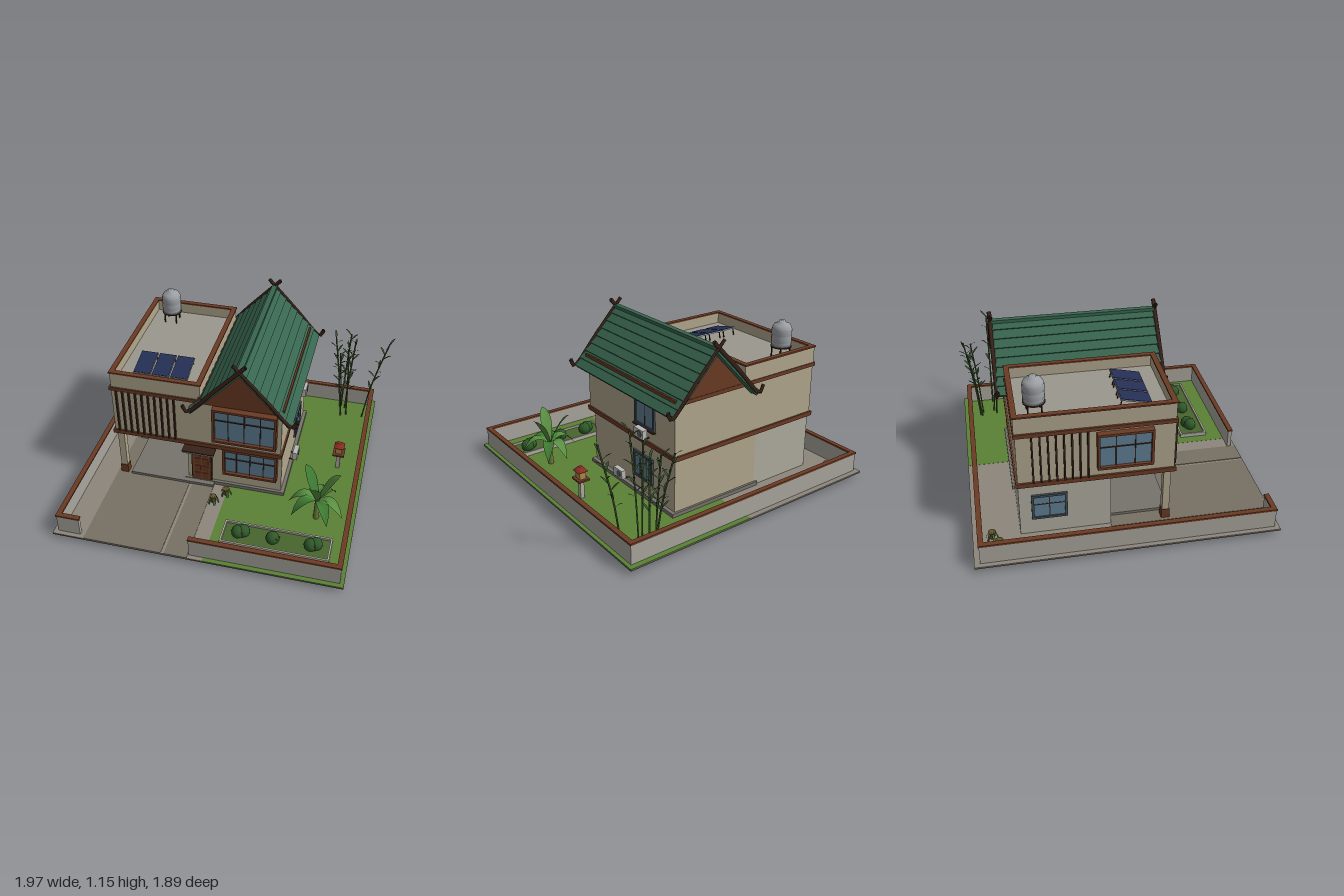
import * as THREE from 'three';

const C = { wall: 0xb2a78e, pale: 0xb0aca0, brown: 0x6b3a24, dark: 0x38231a, roof: 0x38654f, glass: 0x5f7f94,
  stone: 0x8d867b, drive: 0x787064, grass: 0x5b8136, fence: 0xa9a69d, metal: 0x9a9ea2, leaf: 0x3f7030, bamboo: 0x34502a };
const mats = new Map();
function mat(color, thin = false) {
  const key = color + (thin ? 't' : '');
  if (!mats.has(key)) mats.set(key, new THREE.MeshStandardMaterial({ color, side: thin ? THREE.DoubleSide : THREE.FrontSide }));
  return mats.get(key);
}
function add(parent, name, geo, color, thin) {
  const m = new THREE.Mesh(geo, mat(color, thin));
  m.name = name;
  parent.add(m);
  return m;
}
function group(parent, name, x = 0, y = 0, z = 0, ry = 0) {
  const g = new THREE.Group();
  g.name = name;
  g.position.set(x, y, z);
  g.rotation.y = ry;
  parent.add(g);
  return g;
}
// Box given by its limits on each axis
function box(p, name, color, x0, x1, y0, y1, z0, z1) {
  const m = add(p, name, new THREE.BoxGeometry(x1 - x0, y1 - y0, z1 - z0), color);
  m.position.set((x0 + x1) / 2, (y0 + y1) / 2, (z0 + z1) / 2);
  return m;
}
// Rectangular frame in the xy plane, extruded towards +z
function frameGeo(x0, x1, y0, y1, t, depth) {
  const rect = (C2, a, b, c, d) => { C2.moveTo(a, c); C2.lineTo(b, c); C2.lineTo(b, d); C2.lineTo(a, d); C2.closePath(); return C2; };
  const s = rect(new THREE.Shape(), x0, x1, y0, y1);
  s.holes.push(rect(new THREE.Path(), x0 + t, x1 - t, y0 + t, y1 - t));
  return new THREE.ExtrudeGeometry(s, { depth, bevelEnabled: false });
}
function ring(p, name, color, x0, x1, z0, z1, t, y0, y1) {
  const m = add(p, name, frameGeo(x0, x1, -z1, -z0, t, y1 - y0).rotateX(-Math.PI / 2), color);
  m.position.y = y0;
}
// Window facing +z: deep frame, recessed glass, thin bars
function windowUnit(p, name, x, y, z, ry, w, h, d, color, cols, rows) {
  const g = group(p, name, x, y, z, ry), t = 0.016;
  add(g, 'windowFrame', frameGeo(-w / 2, w / 2, -h / 2, h / 2, t, d), color);
  box(g, 'glass', C.glass, -w / 2 + t, w / 2 - t, -h / 2 + t, h / 2 - t, 0, d * 0.5);
  for (const c of cols) box(g, 'bar', C.dark, (c - 0.5) * w - 0.003, (c - 0.5) * w + 0.003, -h / 2 + t, h / 2 - t, 0, d * 0.65);
  for (const r of rows) box(g, 'bar', C.dark, -w / 2 + t, w / 2 - t, (r - 0.5) * h - 0.003, (r - 0.5) * h + 0.003, 0, d * 0.65);
}
// Arched leaf growing along +x, folded a little along its midrib
function leaf(p, x, y, z, yaw, len, width, rise, droop, color) {
  const geo = new THREE.PlaneGeometry(1, 1, 6, 2), a = geo.attributes.position;
  for (let i = 0; i < a.count; i++) {
    const t = a.getX(i) + 0.5, s = a.getY(i) * 2;
    const w = width / 2 * Math.pow(Math.sin(Math.PI * Math.min(1, 0.04 + t * 0.96)), 0.8);
    a.setXYZ(i, len * t, rise * t - droop * t * t + Math.abs(s) * w * 0.3, s * w || 0);
  }
  geo.computeVertexNormals();
  const m = add(p, 'leaf', geo, color, true);
  m.position.set(x, y, z);
  m.rotation.y = yaw;
}
function tube(p, name, color, pts, r, sides = 6) {
  const curve = new THREE.CatmullRomCurve3(pts.map(q => new THREE.Vector3(...q)));
  add(p, name, new THREE.TubeGeometry(curve, 24, r, sides), color, true);
  return curve;
}

function buildGrounds(root) {
  const g = group(root, 'grounds');
  box(g, 'baseSlab', 0x5c5650, -1, 0.885, 0.034, 0.042, -0.94, 0.95);
  box(g, 'paving', C.stone, -1, 0, 0.042, 0.046, -0.94, 0.95);
  box(g, 'lawn', C.grass, 0, 0.885, 0.042, 0.047, -0.94, 0.95);
  box(g, 'driveway', C.drive, -0.79, -0.27, 0.044, 0.05, -0.08, 0.95);
  box(g, 'path', C.drive, -0.25, -0.1, 0.044, 0.05, 0.3, 0.95);
  // Boundary walls with brown coping
  for (const [x0, x1, z0, z1] of [[-0.97, -0.945, -0.9, 0.91], [0.835, 0.86, -0.9, 0.91], [-0.97, 0.86, -0.905, -0.88],
    [-0.97, -0.82, 0.895, 0.92], [-0.095, 0.86, 0.895, 0.92]]) {
    box(g, 'boundaryWall', C.fence, x0, x1, 0.046, 0.172, z0, z1);
    box(g, 'coping', C.brown, x0 - 0.004, x1 + 0.004, 0.172, 0.184, z0 - 0.004, z1 + 0.004);
  }
  // Planter with flowering bushes
  ring(g, 'planterEdge', C.pale, 0.065, 0.77, 0.595, 0.785, 0.012, 0.046, 0.075);
  box(g, 'planterBed', 0x48662e, 0.077, 0.758, 0.046, 0.06, 0.607, 0.773);
  for (const [x, n] of [[0.18, 2], [0.405, 1], [0.65, 2]]) {
    const b = group(g, 'bush', x, 0.085, 0.69);
    for (let i = 0; i < n; i++) add(b, 'foliage', new THREE.IcosahedronGeometry(0.045, 1), 0x2f5a2a).position.set(i * 0.03 - 0.01, 0, (i % 2) * -0.015);
    for (let i = 0; i < 5; i++) add(b, 'flower', new THREE.IcosahedronGeometry(0.007, 0), 0xa83a2c).position.set(Math.cos(i * 2.4) * 0.035, 0.02, Math.sin(i * 2.4) * 0.035);
  }
  // Small shrine on a post
  const s = group(g, 'gardenShrine', 0.7, 0.046, -0.115);
  box(s, 'post', C.pale, -0.014, 0.014, 0, 0.13, -0.014, 0.014);
  box(s, 'platform', C.brown, -0.04, 0.04, 0.13, 0.142, -0.045, 0.045);
  box(s, 'cabin', 0xb08a4a, -0.022, 0.022, 0.142, 0.195, -0.025, 0.025);
  const r = add(s, 'shrineRoof', new THREE.CylinderGeometry(0.016, 0.05, 0.03, 4).rotateY(Math.PI / 4), 0x8a2d22);
  r.position.y = 0.208;
  // Potted plants with hanging leaves
  for (const [x, z] of [[-0.84, -0.78], [-0.76, -0.82], [-0.065, 0.43], [0, 0.34]]) {
    const p = group(g, 'pottedPlant', x, 0.046, z);
    add(p, 'pot', new THREE.CylinderGeometry(0.024, 0.016, 0.05, 10), 0x7d4a30).position.y = 0.027;
    for (let i = 0; i < 6; i++) leaf(p, 0, 0.05, 0, i * 1.05 + x, 0.05, 0.016, 0.045, 0.139, C.leaf);
  }
}

function buildPlants(root) {
  // Broad-leaved plant
  const b = group(root, 'broadLeafPlant', 0.63, 0.046, 0.41);
  add(b, 'stem', new THREE.CylinderGeometry(0.013, 0.02, 0.17, 8), 0x6a7a3c).position.y = 0.085;
  for (let i = 0; i < 9; i++) {
    const high = i % 3 === 0;
    leaf(b, 0, 0.15, 0, i * 0.7 + 0.3, high ? 0.14 : 0.19, 0.075, high ? 0.34 : 0.22, high ? 0.12 : 0.27, i % 2 ? 0x3f7a33 : 0x5a8f42);
  }
  // Bamboo stems: base x, z then tip x, y, z
  const stems = [[0.68, -0.72, 0.66, 0.71, -0.61], [0.64, -0.7, 0.6, 0.64, -0.66], [0.8, -0.72, 0.935, 0.73, -0.715],
    [0.62, -0.81, 0.54, 0.63, -0.88], [0.63, -0.82, 0.65, 0.66, -0.9], [0.66, -0.8, 0.69, 0.63, -0.85]];
  stems.forEach(([x, z, tx, ty, tz], k) => {
    const g = group(root, 'bamboo');
    const curve = tube(g, 'stem', 0x4b6232, [[x, 0.046, z], [x * 0.65 + tx * 0.35, ty * 0.5, z * 0.65 + tz * 0.35], [tx, ty, tz]], 0.0055, 6);
    for (let i = 0; i < 11; i++) {
      const p = curve.getPoint(0.42 + i * 0.056);
      leaf(g, p.x, p.y, p.z, i * 2.4 + k, 0.055, 0.016, 0.07, 0.025, C.bamboo);
    }
  });
}

function buildHouse(root) {
  const h = group(root, 'house');
  // Ground floor, carport and upper floor
  box(h, 'plinth', 0x77736c, -0.31, 0.385, 0.046, 0.072, -0.66, 0.265);
  box(h, 'step', 0x77736c, -0.69, -0.1, 0.046, 0.068, -0.1, 0.3);
  box(h, 'groundFloor', C.wall, -0.29, 0.36, 0.046, 0.42, -0.645, 0.245);
  box(h, 'carportRoom', C.pale, -0.755, -0.29, 0.046, 0.42, -0.645, -0.08);
  box(h, 'carportPost', C.wall, -0.765, -0.72, 0.046, 0.42, 0.245, 0.29);
  box(h, 'postBase', C.brown, -0.769, -0.716, 0.046, 0.115, 0.241, 0.294);
  box(h, 'upperFloor', C.wall, -0.77, 0.36, 0.42, 0.79, -0.645, 0.307);
  box(h, 'floorBand', C.brown, -0.782, 0.37, 0.42, 0.45, -0.657, 0.318);
  ring(h, 'upperBand', C.brown, -0.782, 0.368, -0.655, 0.316, 0.03, 0.775, 0.8);
  // Flat roof with parapet
  box(h, 'roofDeck', 0x9b978e, -0.76, -0.18, 0.79, 0.835, -0.64, 0.3);
  ring(h, 'parapet', C.wall, -0.77, -0.172, -0.65, 0.307, 0.025, 0.8, 0.905);
  ring(h, 'parapetCap', C.brown, -0.776, -0.166, -0.657, 0.313, 0.034, 0.905, 0.915);
  // Sun-screen slats on the front and right-hand side
  for (let i = 0; i < 10; i++) {
    const x = -0.735 + i * 0.0432;
    box(h, 'frontSlat', C.dark, x - 0.005, x + 0.005, 0.45, 0.775, 0.307, 0.326);
  }
  for (let i = 0; i < 8; i++) {
    const z = -0.55 + i * 0.047;
    box(h, 'sideSlat', C.dark, -0.79, -0.77, 0.45, 0.775, z - 0.005, z + 0.005);
  }
  // Windows
  const q = Math.PI / 2;
  windowUnit(h, 'upperFrontWindow', 0.122, 0.636, 0.307, 0, 0.42, 0.265, 0.045, C.brown, [0.25, 0.5, 0.75], [0.65]);
  windowUnit(h, 'lowerFrontWindow', 0.148, 0.285, 0.245, 0, 0.37, 0.22, 0.045, C.brown, [0.25, 0.5, 0.75], [0.6]);
  windowUnit(h, 'upperSideWindow', 0.36, 0.63, -0.345, q, 0.205, 0.19, 0.014, 0x3f4a50, [0.5], []);
  windowUnit(h, 'lowerSideWindow', 0.36, 0.25, -0.325, q, 0.205, 0.18, 0.014, 0x3f4a50, [0.34, 0.67], []);
  windowUnit(h, 'upperEndWindow', -0.77, 0.635, 0, -q, 0.34, 0.25, 0.04, C.brown, [0.33, 0.67], [0.6]);
  windowUnit(h, 'lowerEndWindow', -0.755, 0.25, -0.46, -q, 0.22, 0.18, 0.014, 0x3f4a50, [0.5], [0.6]);
  box(h, 'windowSill', C.dark, 0.36, 0.384, 0.528, 0.536, -0.455, -0.235);
  // Front door with panels and canopy
  box(h, 'doorFrame', C.dark, -0.262, -0.118, 0.068, 0.355, 0.24, 0.256);
  box(h, 'door', 0x7a4429, -0.252, -0.128, 0.072, 0.346, 0.24, 0.262);
  for (let i = 0; i < 8; i++) {
    const x = -0.217 + (i % 2) * 0.054, y = 0.11 + Math.floor(i / 2) * 0.064;
    box(h, 'doorPanel', C.brown, x - 0.021, x + 0.021, y - 0.024, y + 0.024, 0.26, 0.266);
  }
  box(h, 'doorCanopy', C.metal, -0.29, -0.08, 0.378, 0.392, 0.24, 0.36);
  box(h, 'canopyEdge', C.dark, -0.294, -0.076, 0.39, 0.398, 0.24, 0.364);
  // Wall charger and air-conditioning units
  box(h, 'wallCharger', 0xc3cbcb, -0.58, -0.522, 0.175, 0.245, -0.08, -0.06);
  box(h, 'chargerScreen', 0x4fa0b4, -0.57, -0.532, 0.21, 0.235, -0.06, -0.057);
  for (const [y, z] of [[0.508, -0.347], [0.125, -0.105]]) {
    const a = group(h, 'airConditioner', 0.4, y, z);
    box(a, 'casing', 0xb9bab6, -0.017, 0.017, -0.03, 0.03, -0.048, 0.048);
    add(a, 'fan', new THREE.CylinderGeometry(0.022, 0.022, 0.004, 16).rotateZ(q), 0x5d6062).position.set(0.018, 0, -0.012);
    for (const s of [-0.035, 0.035]) box(a, 'bracket', C.dark, -0.04, 0.015, -0.036, -0.03, s - 0.004, s + 0.004);
  }
}

function buildGableRoof(root) {
  const g = group(root, 'gableRoof', 0.095, 0, 0);
  const extrude = (pts, z0, z1) => new THREE.ExtrudeGeometry(new THREE.Shape(pts.map(p => new THREE.Vector2(...p))),
    { depth: z1 - z0, bevelEnabled: false }).translate(0, 0, z0);
  // Tiled slopes in stepped courses
  const right = [], n = 8;
  for (let i = 0; i < n; i++) {
    const a = i / n, b = (i + 1) / n;
    right.push([0.335 * a, 1.094 - 0.358 * a], [0.335 * b + 0.003, 1.1 - 0.358 * b]);
  }
  const left = right.slice(1).reverse().map(([x, y]) => [-x, y]);
  add(g, 'tiledSlopes', extrude([...left, ...right, [0.318, 0.72], [0, 1.06], [-0.318, 0.72]], -0.705, 0.365), C.roof);
  add(g, 'gableWall', extrude([[-0.262, 0.785], [0.262, 0.785], [0, 1.066]], -0.652, 0.322), C.brown);
  box(g, 'ridgeCap', C.roof, -0.018, 0.018, 1.083, 1.104, -0.705, 0.365);
  for (const s of [-1, 1]) {
    box(g, 'roofRail', C.brown, s * 0.272 - 0.006, s * 0.272 + 0.006, 0.8, 0.822, -0.66, 0.32);
    // Crossed bargeboards with upturned ends
    for (const z of [-0.708, 0.368]) tube(g, 'bargeboard', C.dark, [[-0.04, 1.142], [0, 1.098], [0.17, 0.915],
      [0.315, 0.752], [0.342, 0.738], [0.366, 0.785]].map(([x, y]) => [s * x, y, z]), 0.014, 4);
  }
}

function buildRoofEquipment(root) {
  // Water tank on legs
  const t = group(root, 'waterTank', -0.605, 0.835, -0.51);
  const prof = [[0, 0.078], [0.064, 0.078], [0.066, 0.1], [0.062, 0.104], [0.066, 0.109], [0.066, 0.145], [0.062, 0.15], [0.066, 0.155],
    [0.066, 0.19], [0.062, 0.194], [0.064, 0.2], [0.052, 0.222], [0.022, 0.234], [0.022, 0.245], [0, 0.247]];
  add(t, 'tankBody', new THREE.LatheGeometry(prof.map(p => new THREE.Vector2(...p)), 24), C.metal, true);
  add(t, 'standRing', new THREE.CylinderGeometry(0.068, 0.068, 0.008, 20), C.dark).position.y = 0.074;
  for (let i = 0; i < 4; i++) {
    const a = Math.PI / 4 + i * Math.PI / 2;
    add(t, 'leg', new THREE.CylinderGeometry(0.005, 0.005, 0.075, 6), C.dark).position.set(Math.cos(a) * 0.058, 0.037, Math.sin(a) * 0.058);
  }
  // Tilted solar panels
  for (let i = 0; i < 3; i++) {
    const p = group(root, 'solarPanel', -0.598 + i * 0.125, 0.868, 0.09);
    p.rotation.x = 0.22;
    box(p, 'panelFrame', C.metal, -0.058, 0.058, -0.005, 0.003, -0.098, 0.098);
    box(p, 'panelCells', 0x252f55, -0.055, 0.055, 0.003, 0.006, -0.095, 0.095);
    for (const s of [-0.045, 0.045]) box(p, 'panelLeg', C.dark, s - 0.003, s + 0.003, -0.05, -0.004, -0.09, -0.084);
  }
}

export function createModel() {
  const root = new THREE.Group();
  root.name = 'houseWithGarden';
  for (const build of [buildGrounds, buildPlants, buildHouse, buildGableRoof, buildRoofEquipment]) build(root);
  return root;
}
